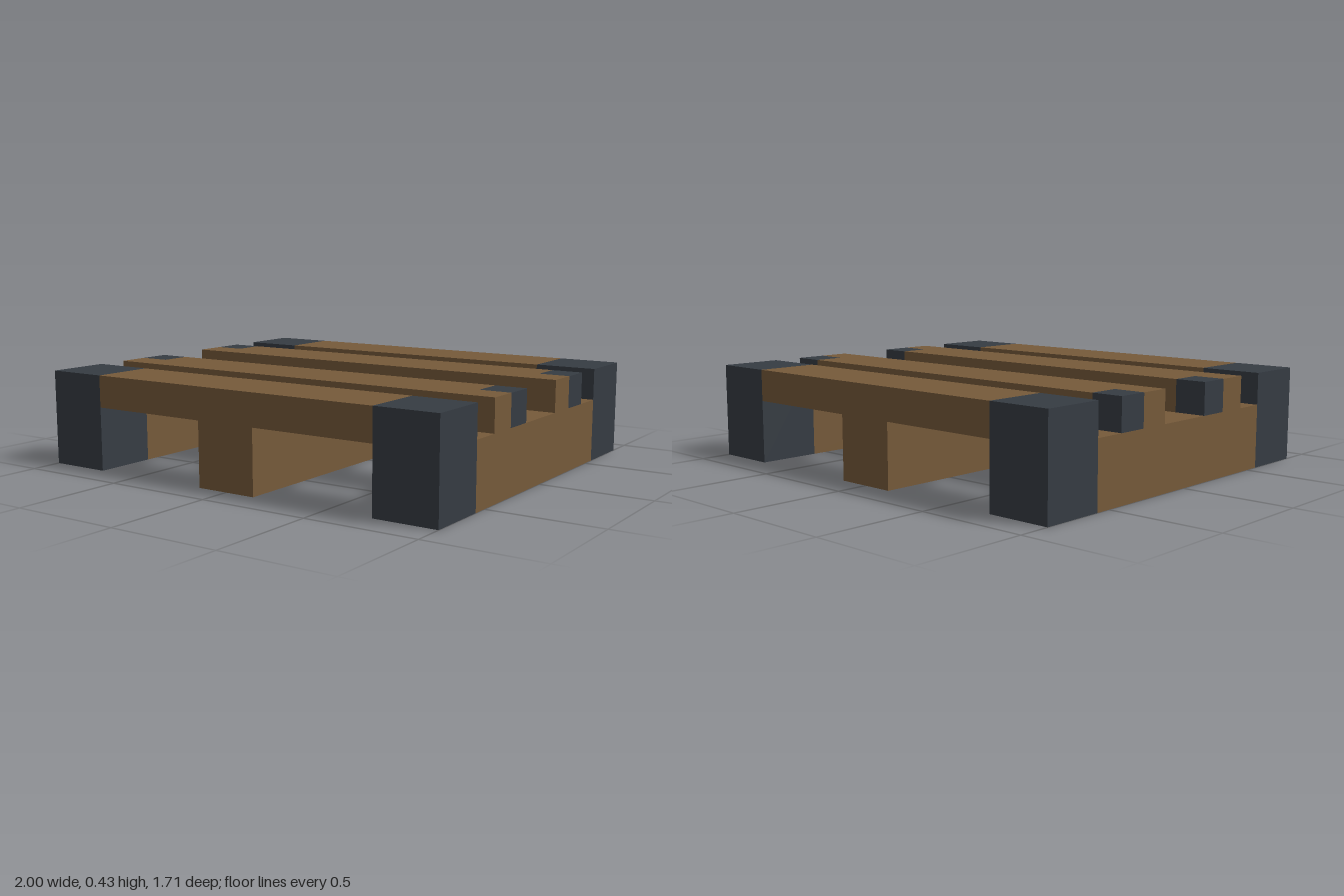
import * as THREE from 'three';

const U = 1 / 7; // grid unit: the pallet is 14 x 3 x 12 units

export function createModel() {
  const group = new THREE.Group();
  const wood = new THREE.MeshStandardMaterial({ color: 0x765a3a });
  wood.name = 'brown wood';
  const metal = new THREE.MeshStandardMaterial({ color: 0x363c43 });
  metal.name = 'dark metal';

  // Box given by its size and the centre of its underside, in grid units
  function box(name, material, w, h, d, x, y, z) {
    const mesh = new THREE.Mesh(new THREE.BoxGeometry(w * U, h * U, d * U), material);
    mesh.position.set(x * U, (y + h / 2) * U, z * U);
    mesh.name = name;
    group.add(mesh);
  }

  // Runners from front to back
  box('centreRunner', wood, 2, 2, 12, 0, 0, 0);
  for (const side of [-1, 1]) box('sideRunner', wood, 2, 2, 8, side * 6, 0, 0);

  // Outer slats and corner blocks
  for (const end of [-1, 1]) {
    box('outerSlat', wood, 10, 1, 2, 0, 2, end * 5);
    for (const side of [-1, 1]) box('cornerBlock', metal, 2, 3, 2, side * 6, 0, end * 5);
  }

  // Inner slats, notched at the rear corners for the metal tips
  const outline = new THREE.Shape(
    [[-7, -1], [7, -1], [7, 0], [6, 0], [6, 1], [-6, 1], [-6, 0], [-7, 0]]
      .map(([x, y]) => new THREE.Vector2(x * U, y * U)));
  const slatGeometry = new THREE.ExtrudeGeometry(outline, { depth: U, bevelEnabled: false });
  slatGeometry.rotateX(-Math.PI / 2);
  for (const z of [-2, 2]) {
    const slat = new THREE.Mesh(slatGeometry, wood);
    slat.position.set(0, 2 * U, z * U);
    slat.name = 'innerSlat';
    group.add(slat);
    for (const side of [-1, 1]) box('slatTip', metal, 1, 1, 1, side * 6.5, 2, z - 0.5);
  }

  return group;
}
